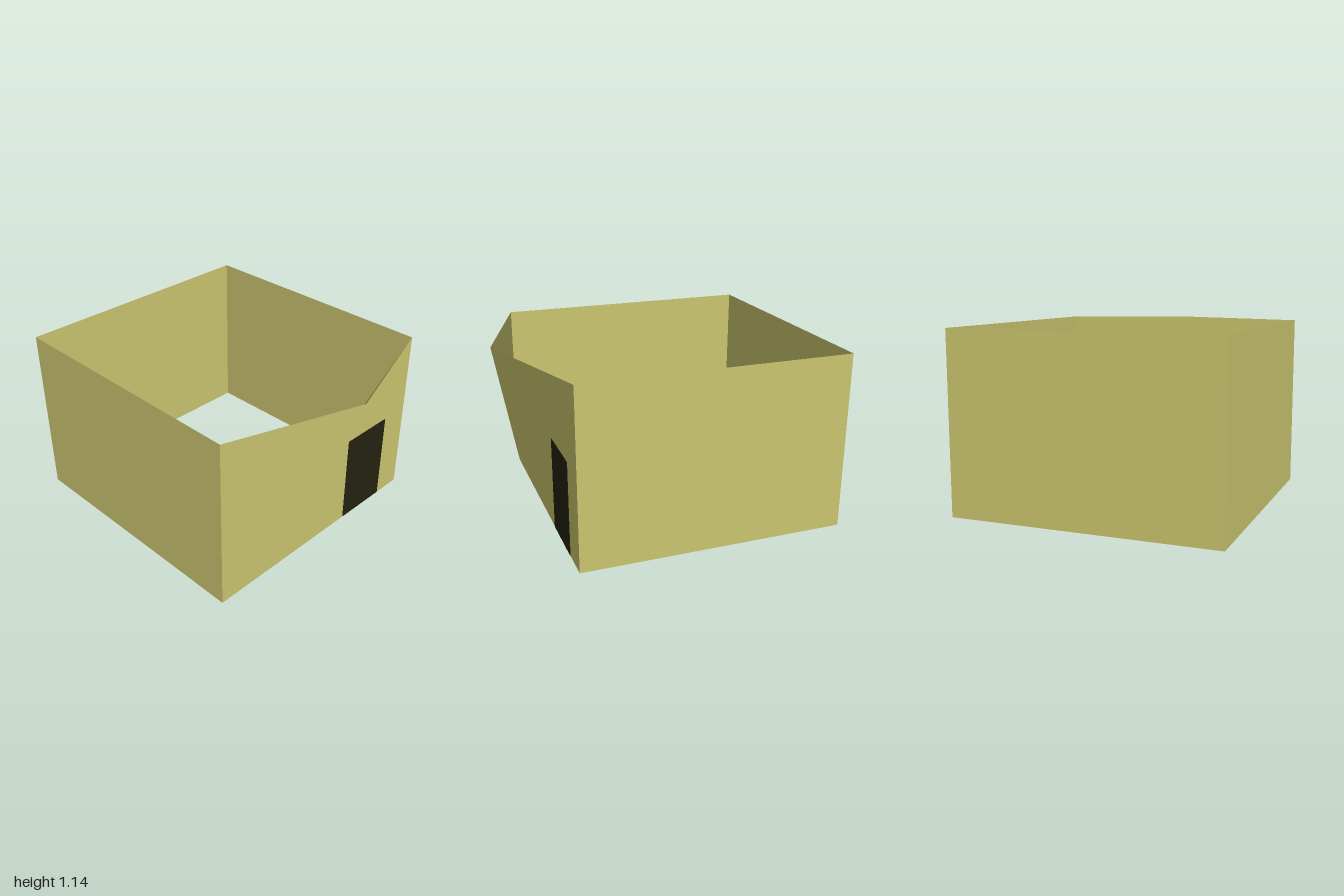
import * as THREE from 'three';

const LEFT = -1, RIGHT = 0.71, DEPTH = 0.855, HEIGHT = 1.143;

export function createModel() {
  const model = new THREE.Group();
  model.name = 'openHut';

  const wallMaterial = new THREE.MeshStandardMaterial({ color: 0xcbc56f, side: THREE.DoubleSide });
  wallMaterial.name = 'sandYellow';
  const doorMaterial = new THREE.MeshStandardMaterial({ color: 0x25220f });
  doorMaterial.name = 'darkDoorway';

  const add = (name, geometry, material, x = 0, y = 0, z = 0, turn = 0) => {
    const mesh = new THREE.Mesh(geometry, material);
    mesh.name = name;
    mesh.position.set(x, y, z);
    mesh.rotation.y = turn;
    model.add(mesh);
  };

  // Three plain sheet walls, open above and below
  const longWall = new THREE.PlaneGeometry(RIGHT - LEFT, HEIGHT);
  const middle = (LEFT + RIGHT) / 2;
  add('frontWall', longWall, wallMaterial, middle, HEIGHT / 2, DEPTH);
  add('backWall', longWall, wallMaterial, middle, HEIGHT / 2, -DEPTH, Math.PI);
  add('sideWall', new THREE.PlaneGeometry(2 * DEPTH, HEIGHT), wallMaterial,
    LEFT, HEIGHT / 2, 0, -Math.PI / 2);

  // Door wall: a five-cornered fan whose top middle corner leans outward
  const corners = [
    [RIGHT, 0, DEPTH], [RIGHT, 0, -DEPTH], [RIGHT, HEIGHT, -DEPTH],
    [1, HEIGHT, 0], [RIGHT, HEIGHT, DEPTH],
  ];
  const doorWall = new THREE.BufferGeometry();
  doorWall.setAttribute('position', new THREE.Float32BufferAttribute(corners.flat(), 3));
  // One shared outward normal shades the wall evenly
  doorWall.setAttribute('normal', new THREE.Float32BufferAttribute(corners.flatMap(() => [1, 0, 0]), 3));
  doorWall.setIndex([0, 1, 2, 0, 2, 3, 0, 3, 4]);
  add('doorWall', doorWall, wallMaterial);

  // Dark doorway, a thin plate set through the wall
  add('doorway', new THREE.BoxGeometry(0.006, 0.61, 0.38), doorMaterial, RIGHT, 0.308, -0.46);

  return model;
}
